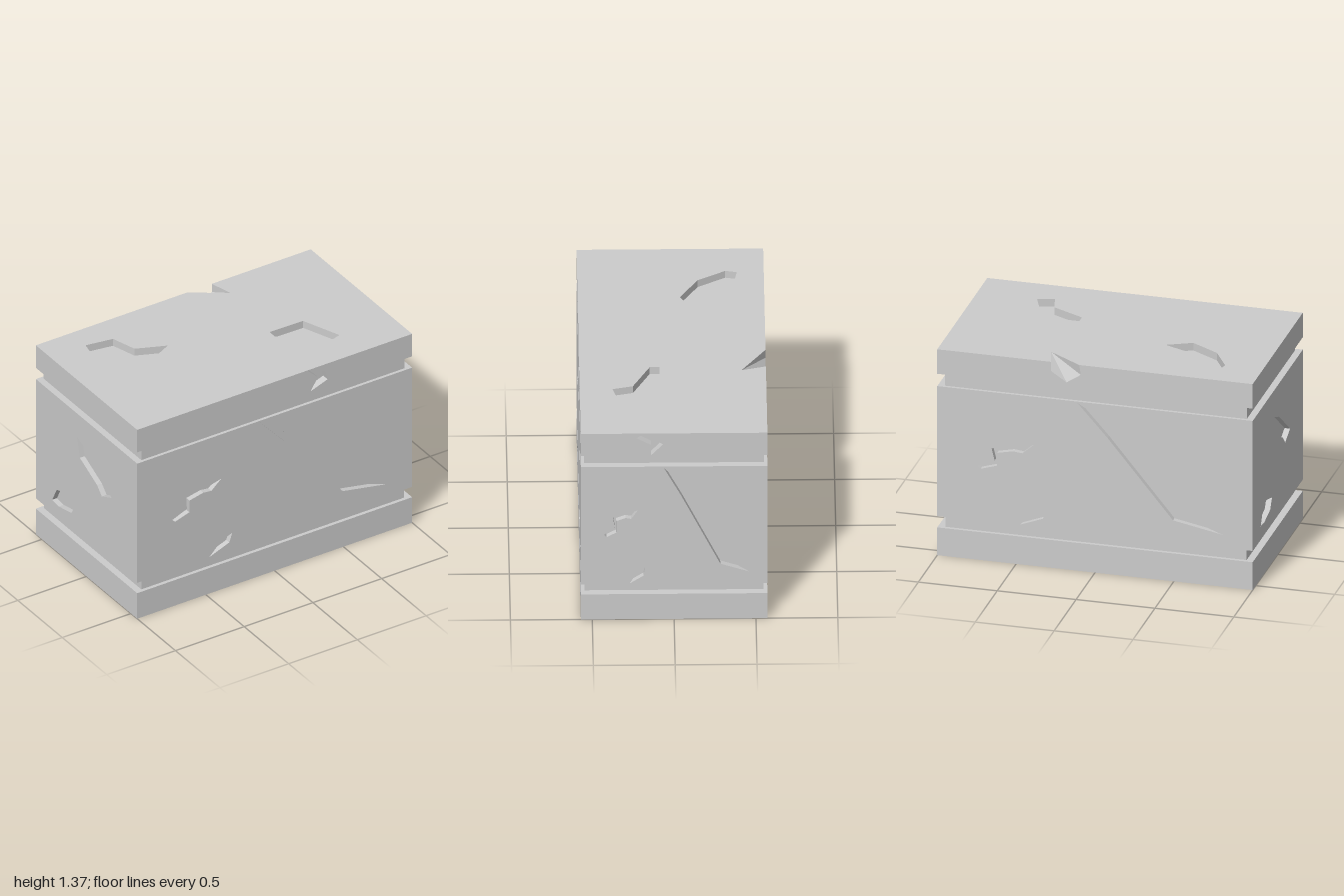
import * as THREE from 'three';
import { mergeGeometries } from 'three/addons/utils/BufferGeometryUtils.js';

const material = new THREE.MeshStandardMaterial({ color: 0xcccccc, flatShading: true, side: THREE.DoubleSide });
const toShape = pts => new THREE.Shape(pts.map(([x, y]) => new THREE.Vector2(x, y)));
const rect = (hw, y0, y1) => [[-hw, y0], [hw, y0], [hw, y1], [-hw, y1]];

function triangles(points) {
  const g = new THREE.BufferGeometry();
  g.setAttribute('position', new THREE.Float32BufferAttribute(points.flat(), 3));
  g.computeVertexNormals();
  return g;
}

function flat(shape, z) {
  const g = new THREE.ShapeGeometry(shape).toNonIndexed();
  g.deleteAttribute('uv');
  return g.translate(0, 0, z);
}

// A flat stone face facing +z, with sunken chips: opening, side walls and floor
function panel(outline, chips, depth) {
  const face = toShape(outline);
  const parts = [];
  for (const chip of chips) {
    face.holes.push(toShape(chip));
    parts.push(flat(toShape(chip), -depth));
    const walls = [];
    chip.forEach(([x, y], i) => {
      const [p, q] = chip[(i + 1) % chip.length];
      walls.push([x, y, 0], [x, y, -depth], [p, q, -depth], [x, y, 0], [p, q, -depth], [p, q, 0]);
    });
    parts.push(triangles(walls));
  }
  parts.unshift(flat(face, 0));
  return mergeGeometries(parts);
}

// Six panels form a block; chips and special outlines are listed per side
function block(name, hx, hz, y0, y1, chips = {}, outlines = {}, depth = 0.035) {
  const group = new THREE.Group();
  group.name = name;
  const sides = {
    Front: [hx, [0, 0, 0], [0, 0, hz]],
    Back: [hx, [0, Math.PI, 0], [0, 0, -hz]],
    Right: [hz, [0, Math.PI / 2, 0], [hx, 0, 0]],
    Left: [hz, [0, -Math.PI / 2, 0], [-hx, 0, 0]],
    Top: [hx, [-Math.PI / 2, 0, 0], [0, y1, 0]],
    Bottom: [hx, [Math.PI / 2, 0, 0], [0, y0, 0]],
  };
  for (const [side, [hw, rotation, position]] of Object.entries(sides)) {
    const level = side === 'Top' || side === 'Bottom';
    const outline = outlines[side] ?? (level ? rect(hw, -hz, hz) : rect(hw, y0, y1));
    const mesh = new THREE.Mesh(panel(outline, chips[side] ?? [], depth), material);
    mesh.name = name + side;
    mesh.rotation.set(...rotation);
    mesh.position.set(...position);
    group.add(mesh);
  }
  return group;
}

export function createModel() {
  const model = new THREE.Group();
  model.name = 'crackedStoneBlock';
  const HX = 1, HZ = 0.57, TOP = 1.37;

  // Plinth and the two recessed necks
  model.add(block('plinth', HX, HZ, 0, 0.185));
  model.add(block('lowerNeck', 0.955, 0.547, 0.185, 0.26));
  model.add(block('upperNeck', 0.957, 0.55, 1.125, 1.207));

  // Body: long crack, jagged crack and edge chip, repeated on three sides
  const cracks = [
    [[-0.11, 1.115], [0.02, 1.04], [0.1, 0.945], [0.52, 0.453], [0.81, 0.345], [0.495, 0.405], [0.08, 0.905]],
    [[-0.75, 0.625], [-0.636, 0.672], [-0.655, 0.75], [-0.545, 0.793], [-0.503, 0.773], [-0.388, 0.804],
      [-0.46, 0.74], [-0.52, 0.747], [-0.62, 0.725], [-0.62, 0.64], [-0.725, 0.607]],
    [[-0.475, 0.264], [-0.39, 0.352], [-0.308, 0.383], [-0.33, 0.32], [-0.405, 0.291]],
  ];
  const narrow = cracks.map(c => c.map(([x, y]) => [x * HZ, y]));
  const leftChips = [
    [[-0.108, 0.956], [0.032, 0.903], [0.28, 0.72], [0.172, 0.673], [0.118, 0.727], [-0.075, 0.82]],
    [[-0.387, 0.348], [-0.333, 0.45], [-0.258, 0.469], [-0.129, 0.433], [-0.172, 0.368], [-0.31, 0.34]],
  ];
  model.add(block('body', HX, HZ, 0.26, 1.125, { Front: cracks, Back: cracks, Right: narrow, Left: leftChips }));

  // Cap: sunken chips on top, front and right, and a broken corner on the back edge
  const capChips = {
    Front: [[[0.24, 1.367], [0.315, 1.295], [0.26, 1.21], [0.385, 1.255], [0.37, 1.315], [0.265, 1.367]]],
    Right: [[[-0.19, 1.367], [-0.067, 1.29], [-0.14, 1.21], [-0.14, 1.285], [-0.23, 1.335]]],
    Top: [
      [[-0.745, 0.405], [-0.565, 0.375], [-0.515, 0.21], [-0.325, 0.13], [-0.48, 0.055], [-0.66, 0.165], [-0.76, 0.335]],
      [[0.28, -0.08], [0.52, -0.085], [0.62, -0.34], [0.515, -0.37], [0.485, -0.245], [0.28, -0.14]],
    ],
  };
  const rim = [[0.28, TOP], [0.28, 1.31], [0.18, 1.245], [0.09, 1.305], [0.1, TOP]];
  const capOutlines = {
    Back: [[-HX, 1.207], [HX, 1.207], [HX, TOP], ...rim.map(([x, y]) => [-x, y]).reverse(), [-HX, TOP]],
    Top: [[-HX, -HZ], [HX, -HZ], [HX, HZ], [0.28, HZ], [0.32, 0.42], [0.1, HZ], [-HX, HZ]],
  };
  const cap = block('cap', HX, HZ, 1.207, TOP, capChips, capOutlines, 0.05);
  const fan = [];
  for (let i = 0; i < rim.length - 1; i++) {
    fan.push([0.32, TOP, -0.42], [...rim[i], -HZ], [...rim[i + 1], -HZ]);
  }
  const broken = new THREE.Mesh(triangles(fan), material);
  broken.name = 'capBrokenEdge';
  cap.add(broken);
  model.add(cap);

  return model;
}
